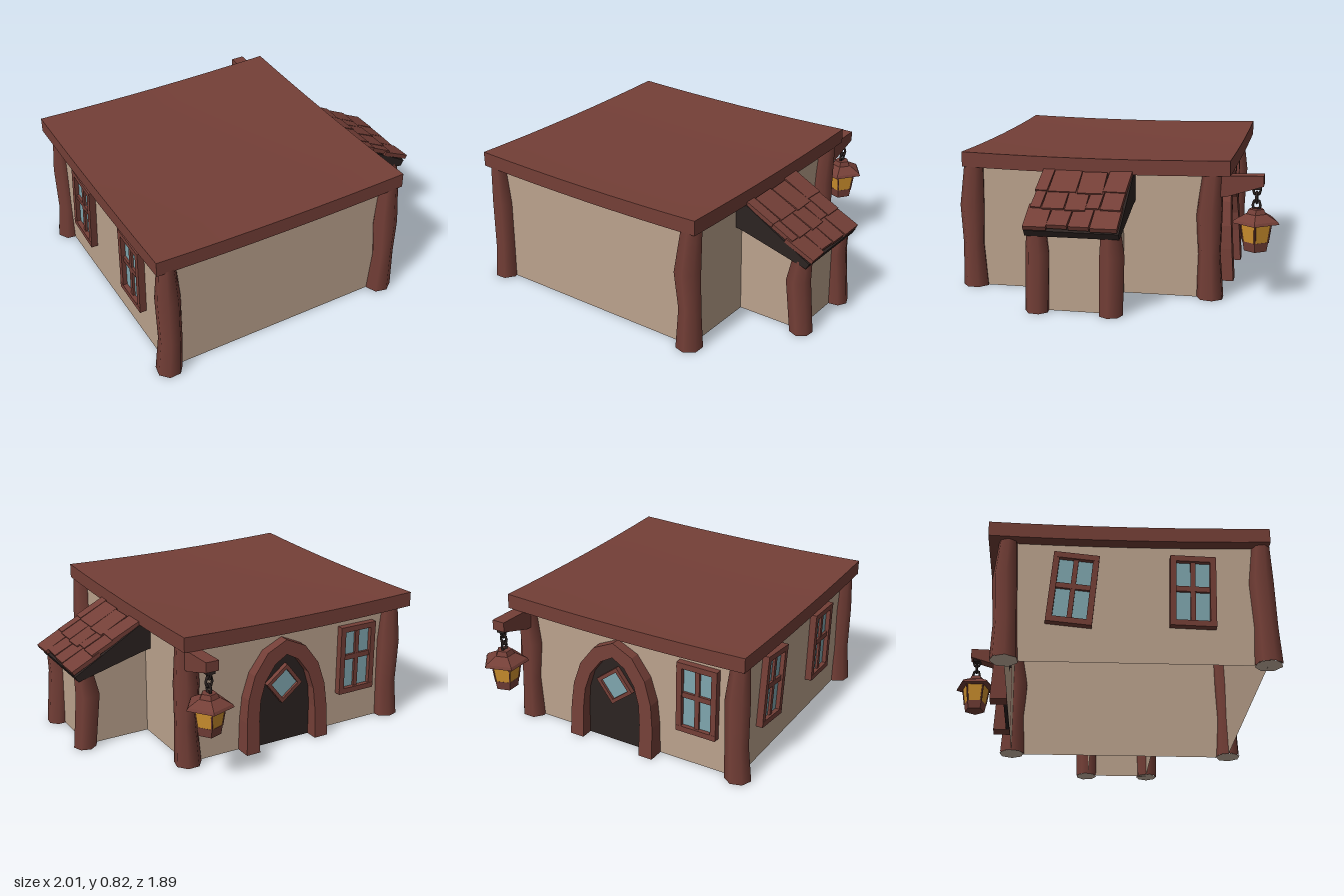
import * as THREE from 'three';

const mat = (name, color, extra = {}) => {
  const m = new THREE.MeshStandardMaterial({ color, ...extra });
  m.name = name;
  return m;
};

export function createModel() {
  const root = new THREE.Group();
  root.name = 'cottage';
  const wood = mat('red brown wood', 0x743f37);
  const plaster = mat('plaster', 0xbba28d, { side: THREE.DoubleSide });
  const dark = mat('dark wood', 0x2c2321);
  const endGrain = mat('cut end', 0xcbb5a4);
  const glass = mat('window glass', 0x7fa6ae);
  const amber = mat('lantern glass', 0xd2932f);

  const add = (parent, name, geo, material, x = 0, y = 0, z = 0) => {
    const m = new THREE.Mesh(geo, material);
    m.name = name;
    m.position.set(x, y, z);
    parent.add(m);
    return m;
  };
  const group = (parent, name, x, y, z) => {
    const g = new THREE.Group();
    g.name = name;
    g.position.set(x, y, z);
    parent.add(g);
    return g;
  };
  const box = (w, h, d) => new THREE.BoxGeometry(w, h, d);
  const moveVerts = (geo, rule) => {
    const p = geo.attributes.position, v = new THREE.Vector3();
    for (let i = 0; i < p.count; i++) {
      rule(v.fromBufferAttribute(p, i));
      p.setXYZ(i, v.x, v.y, v.z);
    }
    return geo;
  };
  // Keeps only the listed sides of a box (0 +x, 1 -x, 2 +y, 3 -y, 4 +z, 5 -z)
  const boxSides = (w, h, d, sides) => {
    const g = box(w, h, d);
    const idx = Array.from(g.index.array);
    g.setIndex(sides.flatMap((s) => idx.slice(s * 6, s * 6 + 6)));
    g.clearGroups();
    return g;
  };
  const shapeOf = (pts) => new THREE.Shape(pts.map(([x, y]) => new THREE.Vector2(x, y)));
  const extrude = (shape, depth) =>
    new THREE.ExtrudeGeometry(shape, { depth, bevelEnabled: false });

  // Main walls, open underneath
  add(root, 'walls', boxSides(1.42, 0.73, 1.41, [0, 1, 4, 5]), plaster, -0.21, 0.365, 0.155);

  // Sagging roof slab
  const roof = moveVerts(new THREE.BoxGeometry(1.56, 0.088, 1.57, 8, 1, 8), (v) => {
    const u = v.x / 0.78, w = v.z / 0.785;
    v.y += 0.014 * (u * u + w * w);
  });
  roof.computeVertexNormals();
  add(root, 'roof', roof, wood, -0.21, 0.748, 0.125);

  // Crooked corner posts: rows of [height fraction, radius, x shift, z shift]
  const post = (name, x, z, h, r, rows, turn) => {
    const g = new THREE.CylinderGeometry(r, r, h, 7, rows.length - 1, true);
    g.rotateY(turn);
    moveVerts(g, (v) => {
      const k = Math.round((v.y / h + 0.5) * (rows.length - 1));
      const [f, s, dx, dz] = rows[k];
      v.set(v.x * s + dx, f * h, v.z * s + dz);
    });
    const p = group(root, name, x, 0, z);
    add(p, 'postShaft', g, wood);
    const cap = add(p, 'postEnd', new THREE.CircleGeometry(r * rows[0][1], 7), endGrain, rows[0][2], 0.001, rows[0][3]);
    cap.rotation.x = Math.PI / 2;
    cap.rotation.z = turn;
  };
  const straight = [[0, 1.02, 0, 0], [0.3, 0.9, 0.015, 0], [0.68, 0.95, 0.015, -0.01], [1, 0.68, 0.01, 0]];
  const bent = [[0, 1.04, 0, 0], [0.35, 0.85, 0.01, 0.005], [0.66, 1, 0, 0.01], [1, 0.78, 0.015, -0.01]];
  post('frontLeftPost', 0.495, 0.865, 0.74, 0.076, bent, 0.2);
  post('frontRightPost', -0.925, 0.865, 0.74, 0.076, straight, 0.5);
  post('backLeftPost', 0.495, -0.55, 0.74, 0.078, bent, 0.9);
  post('backRightPost', -0.925, -0.55, 0.74, 0.078, straight, 0.3);

  // Lean-to: walls, posts, dark roof wedge and shingles
  const leanWalls = moveVerts(boxSides(0.4, 0.5, 0.4, [0, 4, 5]), (v) => {
    if (v.y > 0) v.y = v.x < 0 ? 0.37 : 0.22;
  });
  add(root, 'leanToWalls', leanWalls, plaster, 0.7, 0.25, 0.16);
  const leanRows = [[0, 0.95, 0.01, 0], [0.7, 1, -0.02, 0], [1, 0.8, 0, 0]];
  post('leanToFrontPost', 0.91, 0.365, 0.47, 0.072, leanRows, 0.1);
  post('leanToBackPost', 0.91, -0.05, 0.47, 0.072, leanRows, 0.6);
  const wedge = shapeOf([[0.5, 0.56], [0.57, 0.545], [0.965, 0.44], [0.985, 0.475], [0.57, 0.715], [0.5, 0.72]]);
  add(root, 'leanToRoof', extrude(wedge, 0.53), dark, 0, 0, -0.11);
  const courses = [
    { x: 0.655, y: 0.681, cuts: [-0.105, 0.03, 0.18, 0.345, 0.42] },
    { x: 0.78, y: 0.612, cuts: [-0.1, 0.02, 0.1, 0.22, 0.35, 0.415] },
    { x: 0.905, y: 0.54, cuts: [-0.105, 0.05, 0.17, 0.29, 0.425] },
  ];
  courses.forEach(({ x, y, cuts }, row) => {
    for (let i = 0; i < cuts.length - 1; i++) {
      const wobble = ((i * 7 + row * 5) % 4) - 1.5;
      const s = add(root, 'shingle', box(0.195, 0.026, cuts[i + 1] - cuts[i] - 0.006), wood,
        x + wobble * 0.006, y - wobble * 0.003, (cuts[i] + cuts[i + 1]) / 2);
      s.rotation.set(0, wobble * 0.025, -0.46);
    }
  });

  // Door with pointed arch, on the back wall
  const mirrorArch = (half) => [...half, ...half.slice(0, -1).reverse().map(([x, y]) => [-x, y])];
  const outer = mirrorArch([[0.285, 0], [0.28, 0.2], [0.265, 0.34], [0.22, 0.48], [0.13, 0.6], [0, 0.66]]);
  const inner = mirrorArch([[0.195, 0], [0.195, 0.2], [0.185, 0.32], [0.15, 0.43], [0.08, 0.525], [0, 0.57]]);
  const door = group(root, 'door', -0.13, 0, -0.55);
  door.rotation.y = Math.PI;
  const frameGeo = moveVerts(extrude(shapeOf([...outer, ...inner.slice().reverse()]), 0.1), (v) => {
    if (v.z > 0.05) v.z -= 0.04 * (v.y / 0.66);
  });
  frameGeo.computeVertexNormals();
  add(door, 'doorFrame', frameGeo, wood);
  add(door, 'doorPanel', extrude(shapeOf(inner), 0.022), dark);
  const diamond = group(door, 'doorWindow', 0, 0.38, 0.025);
  diamond.rotation.z = Math.PI / 4 - 0.12;
  add(diamond, 'doorGlass', box(0.14, 0.14, 0.008), glass, 0, 0, 0.006);
  for (let i = 0; i < 4; i++) {
    const side = group(diamond, 'doorWindowSide', 0, 0, 0);
    side.rotation.z = i * Math.PI / 2;
    add(side, 'doorWindowBar', box(0.172, 0.022, 0.035), wood, 0, 0.076, 0.008);
  }

  // Four-pane windows
  const makeWindow = (name, x, z, turn, tilt) => {
    const holder = group(root, name, x, 0.43, z);
    holder.rotation.y = turn;
    const w = group(holder, 'windowTilt', 0, 0, 0);
    w.rotation.z = tilt;
    add(w, 'windowGlass', box(0.2, 0.38, 0.008), glass, 0, 0, 0.01);
    for (const s of [-1, 1]) {
      add(w, 'windowJamb', box(0.034, 0.42, 0.05), wood, s * 0.11, 0, 0.015);
      add(w, 'windowRail', box(0.254, 0.034, 0.052), wood, 0, s * 0.2, 0.015);
    }
    add(w, 'windowMullion', box(0.028, 0.4, 0.036), wood, 0, 0, 0.01);
    add(w, 'windowCrossbar', box(0.21, 0.032, 0.038), wood, 0, 0.015, 0.01);
  };
  makeWindow('backWindow', -0.665, -0.55, Math.PI, 0);
  makeWindow('sideWindowBack', -0.92, -0.19, -Math.PI / 2, -0.1);
  makeWindow('sideWindowFront', -0.92, 0.47, -Math.PI / 2, -0.03);

  // Lantern bracket, a tapered beam reaching backwards
  const arm = extrude(shapeOf([[0.52, 0.6], [0.64, 0.61], [0.845, 0.675], [0.845, 0.735], [0.52, 0.725]]), 0.08);
  arm.rotateY(Math.PI / 2);
  add(root, 'lanternArm', arm, wood, 0.46, 0, 0);

  // Hanging five-sided lantern
  const lantern = group(root, 'lantern', 0.5, 0, -0.805);
  const pent = (rt, rb, y0, y1) => {
    const g = new THREE.CylinderGeometry(rt, rb, y1 - y0, 5).toNonIndexed();
    g.rotateY(Math.PI / 2);
    g.translate(0, (y0 + y1) / 2, 0);
    g.computeVertexNormals();
    return g;
  };
  add(lantern, 'lanternBrim', pent(0.13, 0.14, 0.462, 0.478), wood);
  add(lantern, 'lanternRoof', pent(0.065, 0.13, 0.478, 0.512), wood);
  add(lantern, 'lanternTop', pent(0.045, 0.058, 0.512, 0.54), wood);
  add(lantern, 'lanternPane', pent(0.092, 0.074, 0.35, 0.462), amber);
  add(lantern, 'lanternBase', pent(0.076, 0.067, 0.298, 0.352), wood);
  for (let i = 0; i < 5; i++) {
    const a = Math.PI / 2 + i * Math.PI * 0.4;
    const pole = new THREE.LineCurve3(
      new THREE.Vector3(Math.sin(a) * 0.073, 0.35, Math.cos(a) * 0.073),
      new THREE.Vector3(Math.sin(a) * 0.091, 0.465, Math.cos(a) * 0.091));
    add(lantern, 'lanternPole', new THREE.TubeGeometry(pole, 1, 0.006, 4), wood);
  }
  for (let i = 0; i < 3; i++) {
    const link = add(lantern, 'chainLink', new THREE.TorusGeometry(0.021, 0.008, 5, 8), dark, 0, 0.56 + i * 0.045, 0);
    link.scale.y = 1.4;
    link.rotation.y = i % 2 ? 0 : Math.PI / 2;
  }
  add(lantern, 'chainPlate', box(0.05, 0.02, 0.05), dark, 0, 0.663, 0);

  return root;
}
